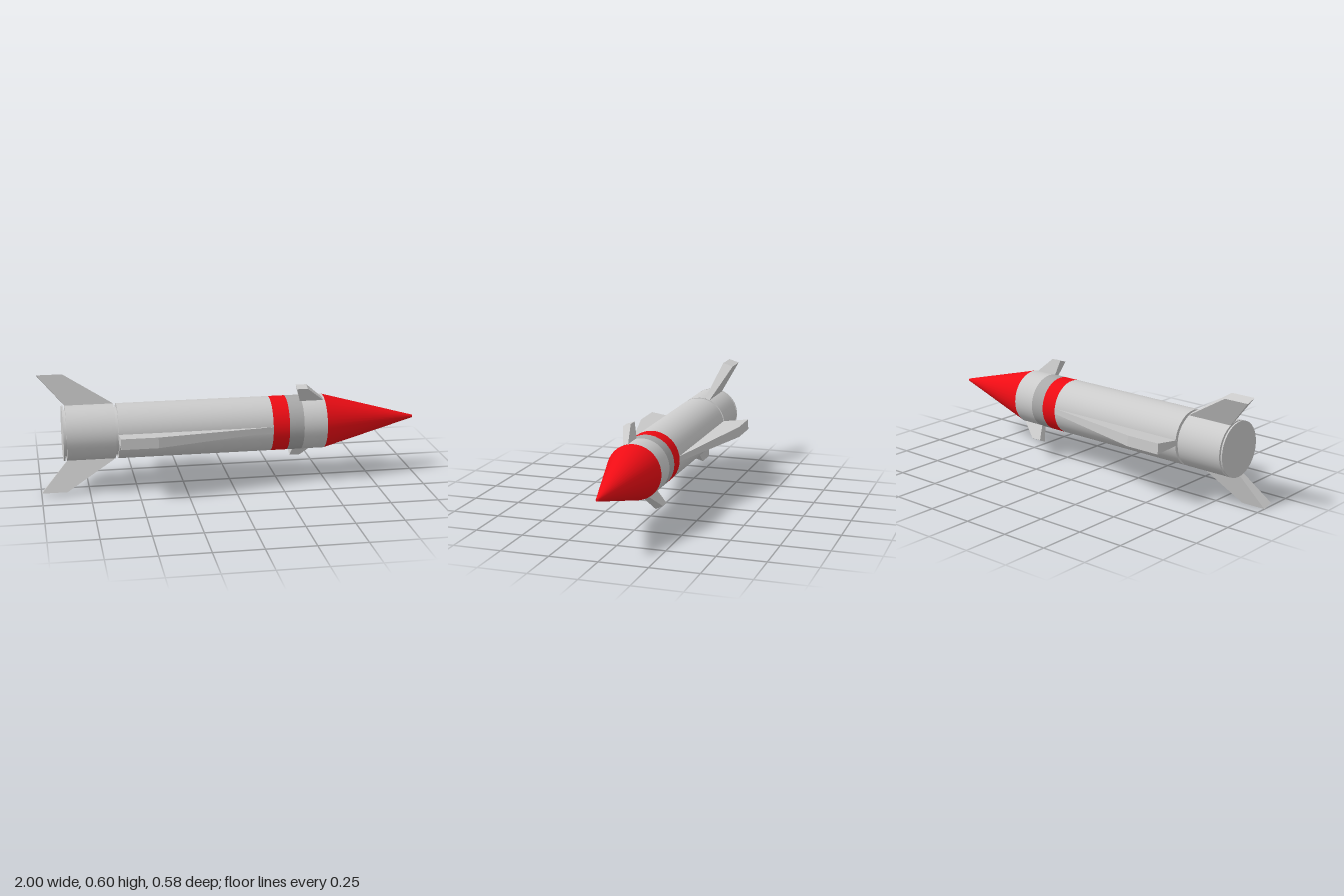
import * as THREE from 'three';

const AXIS_Y = 0.301;   // height of the body's centre line
const R = 0.144;        // body radius
const SPREAD = 0.194;   // fin thickness per unit of distance from the axis

const grey = new THREE.MeshStandardMaterial({ color: 0xcccccc });
const darkGrey = new THREE.MeshStandardMaterial({ color: 0xaaaaaa });
const red = new THREE.MeshStandardMaterial({ color: 0xee0c14 });

// A round section lying along x, from x0 (rear) to x1 (front)
function section(name, x0, x1, rearR, frontR, material) {
  const geo = new THREE.CylinderGeometry(frontR, rearR, x1 - x0, 40);
  geo.rotateZ(-Math.PI / 2);
  geo.translate((x0 + x1) / 2, 0, 0);
  const mesh = new THREE.Mesh(geo, material);
  mesh.name = name;
  return mesh;
}

// A fin outlined in (x, radius) that thickens with distance from the axis
function finGeometry(outline) {
  const shape = new THREE.Shape(outline.map(([x, r]) => new THREE.Vector2(x, r)));
  const geo = new THREE.ExtrudeGeometry(shape, { depth: 1, bevelEnabled: false });
  const pos = geo.attributes.position;
  for (let i = 0; i < pos.count; i++) {
    pos.setZ(i, (pos.getZ(i) - 0.5) * SPREAD * pos.getY(i));
  }
  geo.computeVertexNormals();
  return geo;
}

export function createModel() {
  const model = new THREE.Group();
  model.name = 'rocket';
  const rocket = new THREE.Group();
  rocket.name = 'fuselage';
  rocket.position.y = AXIS_Y;
  model.add(rocket);

  // Body sections from nose to tail, with narrow recessed joints
  rocket.add(
    section('noseCone', 0.5, 1, R, 0.007, red),
    section('forwardBody', 0.375, 0.5, R, R, grey),
    section('greyBand', 0.297, 0.375, R, R, darkGrey),
    section('redBand', 0.21, 0.297, R, R, red),
    section('mainBody', -0.597, 0.21, R, R, grey),
    section('frontJoint', -0.612, -0.597, 0.125, 0.125, grey),
    section('tailBody', -0.863, -0.612, R, R, grey),
    section('rearJoint', -0.872, -0.863, 0.122, 0.122, grey),
    section('endPlate', -0.88, -0.872, R, R, grey)
  );

  // Fin sets: outline in (x, radius), angles in degrees from up towards +z
  const finSets = [
    { name: 'tailFin', angles: [-16.8, 163.2],
      outline: [[-0.845, 0.13], [-0.635, 0.13], [-0.612, R], [-0.868, 0.305], [-1, 0.305], [-0.863, R]] },
    { name: 'wing', angles: [87.2, -87.2],
      outline: [[-0.597, 0.13], [0.2, 0.13], [0.21, R], [-0.41, 0.287], [-0.6, 0.287], [-0.6, R]] },
    { name: 'canard', angles: [18.8, -154],
      outline: [[0.37, 0.13], [0.48, 0.13], [0.49, R], [0.4, 0.2245], [0.343, 0.2245], [0.365, R]] },
  ];
  for (const { name, angles, outline } of finSets) {
    const geo = finGeometry(outline);
    angles.forEach((deg, i) => {
      const fin = new THREE.Mesh(geo, grey);
      fin.name = name + (i + 1);
      fin.rotation.x = THREE.MathUtils.degToRad(deg);
      rocket.add(fin);
    });
  }
  return model;
}
